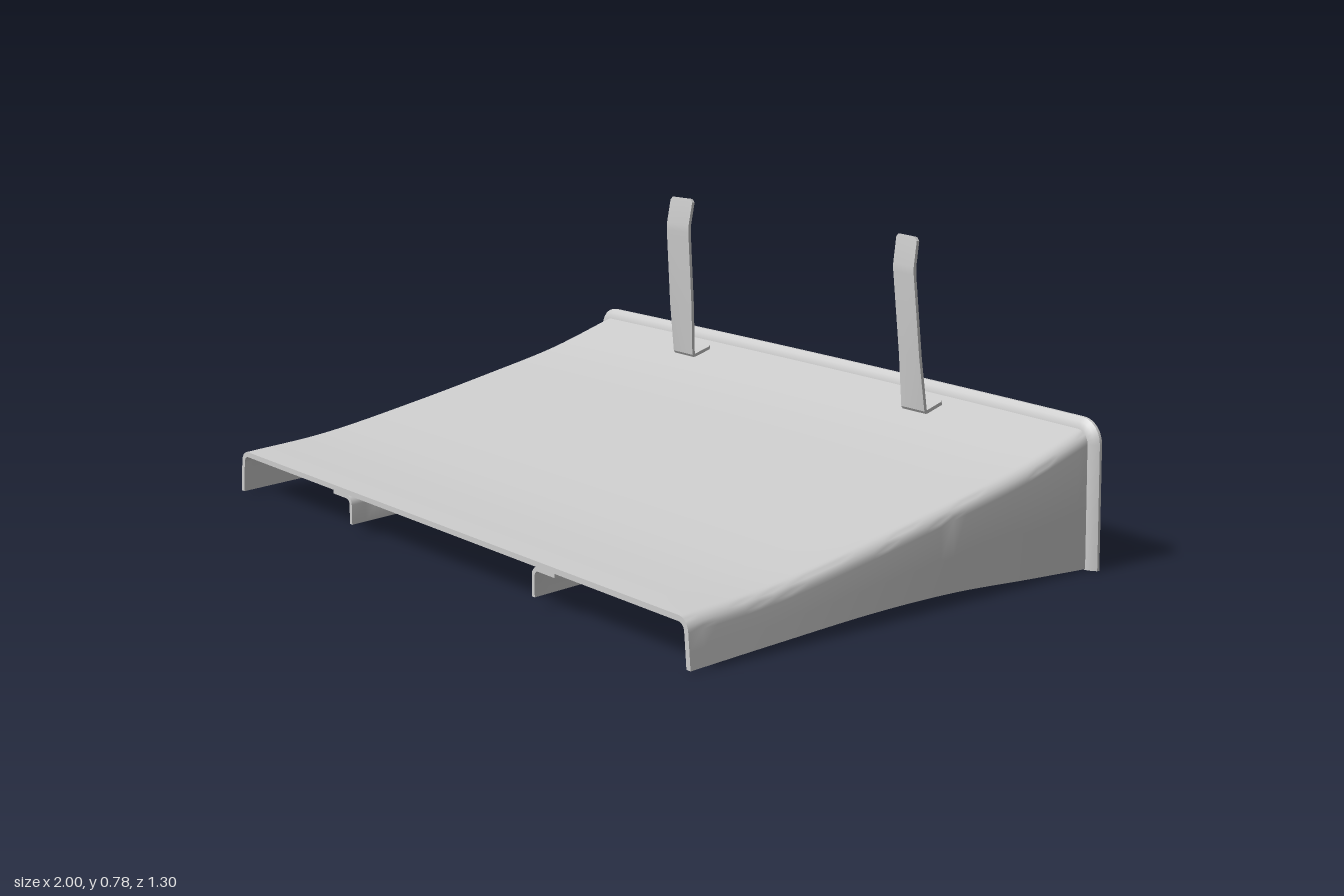
import * as THREE from 'three';
import { toCreasedNormals } from 'three/addons/utils/BufferGeometryUtils.js';

const material = new THREE.MeshStandardMaterial({ color: 0xcccccc, side: THREE.DoubleSide });
const REAR = -0.61, SKIN = 0.014;

// Side profile: x = depth (z), y = deck height, z = lower edge of the side walls
const profile = new THREE.CatmullRomCurve3([
  [0.648, 0.122, 0.006], [0.4, 0.14, 0.018], [0.1, 0.188, 0.03],
  [-0.15, 0.235, 0.029], [-0.4, 0.287, 0.014], [REAR, 0.35, 0.002],
].map((p) => new THREE.Vector3(...p)));

// The rear edge bows backwards in plan
const bow = (x) => 0.02 * (1 - x * x);

// Lofts closed strips; a loop is one edge followed by the other edge reversed
function loft(name, loops, crease = 0.6) {
  const n = loops[0].length, pos = [];
  const tri = (a, b, c) => pos.push([a, b, c]);
  const quad = (a, b, c, d) => { tri(a, b, c); tri(a, c, d); };
  for (let k = 0; k < loops.length - 1; k++) {
    for (let i = 0; i < n; i++) {
      const j = (i + 1) % n;
      quad(loops[k][i], loops[k][j], loops[k + 1][j], loops[k + 1][i]);
    }
  }
  const first = loops[0], last = loops[loops.length - 1];
  for (let i = 0; i < n / 2 - 1; i++) {
    const a = n - 1 - i;
    quad(first[i], first[a], first[a - 1], first[i + 1]);
    quad(last[i], last[i + 1], last[a - 1], last[a]);
  }
  // Turn all faces outwards
  const cross = new THREE.Vector3();
  const volume = pos.reduce((s, [a, b, c]) => s + a.dot(cross.crossVectors(b, c)), 0);
  const points = pos.flatMap(([a, b, c]) => (volume < 0 ? [a, c, b] : [a, b, c]));
  const geometry = new THREE.BufferGeometry().setFromPoints(points);
  const mesh = new THREE.Mesh(toCreasedNormals(geometry, crease), material);
  mesh.name = name;
  return mesh;
}

// Rounded inverted U, outset by o from the outer skin
function archPath(top, bottom, o) {
  const r = Math.max(0.012, 0.034 + o), w = 0.976 + o, h = top + o;
  const half = [[w, bottom], [w - 0.004, (bottom + h - r) / 2]];
  for (let i = 0; i <= 6; i++) {
    const a = (i / 6) * Math.PI / 2;
    half.push([w - 0.008 - r + r * Math.cos(a), h - r + r * Math.sin(a)]);
  }
  for (let i = 1; i <= 7; i++) half.push([(w - 0.008 - r) * (1 - i / 8), h]);
  return [...half, [0, h], ...half.map(([x, y]) => [-x, y]).reverse()];
}

// Gives a flat path thickness to one side, mitred at the bends
function thicken(path, t) {
  const dir = (a, b) => new THREE.Vector2(b[0] - a[0], b[1] - a[1]).normalize();
  const other = path.map((p, i) => {
    const d0 = dir(path[Math.max(i - 1, 0)], path[Math.max(i, 1)]);
    const d1 = dir(path[Math.min(i, path.length - 2)], path[Math.min(i + 1, path.length - 1)]);
    const m = d0.clone().add(d1).normalize();
    const s = t / Math.max(m.dot(d0), 0.4);
    return [p[0] - m.y * s, p[1] + m.x * s];
  });
  return [...path, ...other.reverse()];
}

// Curved deck with its two side walls
function makeShell() {
  const loops = [];
  for (let k = 0; k <= 30; k++) {
    const t = k / 30, p = profile.getPoint(t);
    const path = [...archPath(p.y, p.z, 0), ...archPath(p.y, p.z, -SKIN).reverse()];
    loops.push(path.map(([x, y]) => new THREE.Vector3(x, y, p.x - bow(x) * t ** 4)));
  }
  return loft('deckAndSideWalls', loops);
}

// Flared lip around the rear opening
function makeLip() {
  const { y: top, z: bottom } = profile.getPoint(1);
  const steps = [[0, 0.004], [0.016, -0.003], [0.026, -0.012], [0.026, -0.02], [0.02, -0.024]];
  return loft('rearLip', steps.map(([o, dz]) =>
    [...archPath(top, 0, o), ...archPath(top, 0, -SKIN).reverse()]
      .map(([x, y]) => new THREE.Vector3(x, y, REAR + dz - bow(x)))));
}

// Vertical fin under the deck, with a mounting flange turned outwards
function makeFin(side) {
  const loops = [];
  for (let k = 0; k <= 30; k++) {
    const t = k / 30, p = profile.getPoint(t);
    const top = p.y - SKIN + 0.001, x0 = 0.396, r = 0.024;
    const path = [[x0, p.z + 0.027]];
    for (let i = 0; i <= 5; i++) {
      const a = (i / 5) * Math.PI / 2;
      path.push([x0 + r - r * Math.cos(a), top - r + r * Math.sin(a)]);
    }
    path.push([0.485, top]);
    loops.push(thicken(path, -0.011).map(([x, y]) =>
      new THREE.Vector3(side * x, y, p.x - (bow(x) + 0.011) * t ** 4)));
  }
  return loft(side > 0 ? 'leftFin' : 'rightFin', loops);
}

// Upright strap bent into a foot that rests on the deck
function makeStrap(side) {
  const loops = [-1, -0.8, 0.8, 1].map((u) => {
    const cut = Math.abs(u) === 1 ? 0.009 : 0;
    const path = [
      [-0.58 + cut, 0.341 - cut * 0.3], [-0.522, 0.324], [-0.513, 0.323], [-0.508, 0.33],
      [-0.495, 0.47], [-0.476, 0.685], [-0.476, 0.705], [-0.487, 0.78 - cut],
    ];
    return thicken(path, 0.009).map(([z, y]) => new THREE.Vector3(
      side * (0.466 + 0.042 * u - 0.036 * Math.max(y - 0.33, 0)), y,
      z + 0.005 * u * Math.min(1, Math.max(0, (y - 0.33) * 10))));
  });
  return loft(side > 0 ? 'leftStrap' : 'rightStrap', loops, 0.4);
}

export function createModel() {
  const model = new THREE.Group();
  model.name = 'rearDiffuser';
  model.add(makeShell(), makeLip());
  for (const side of [1, -1]) model.add(makeFin(side), makeStrap(side));
  return model;
}
